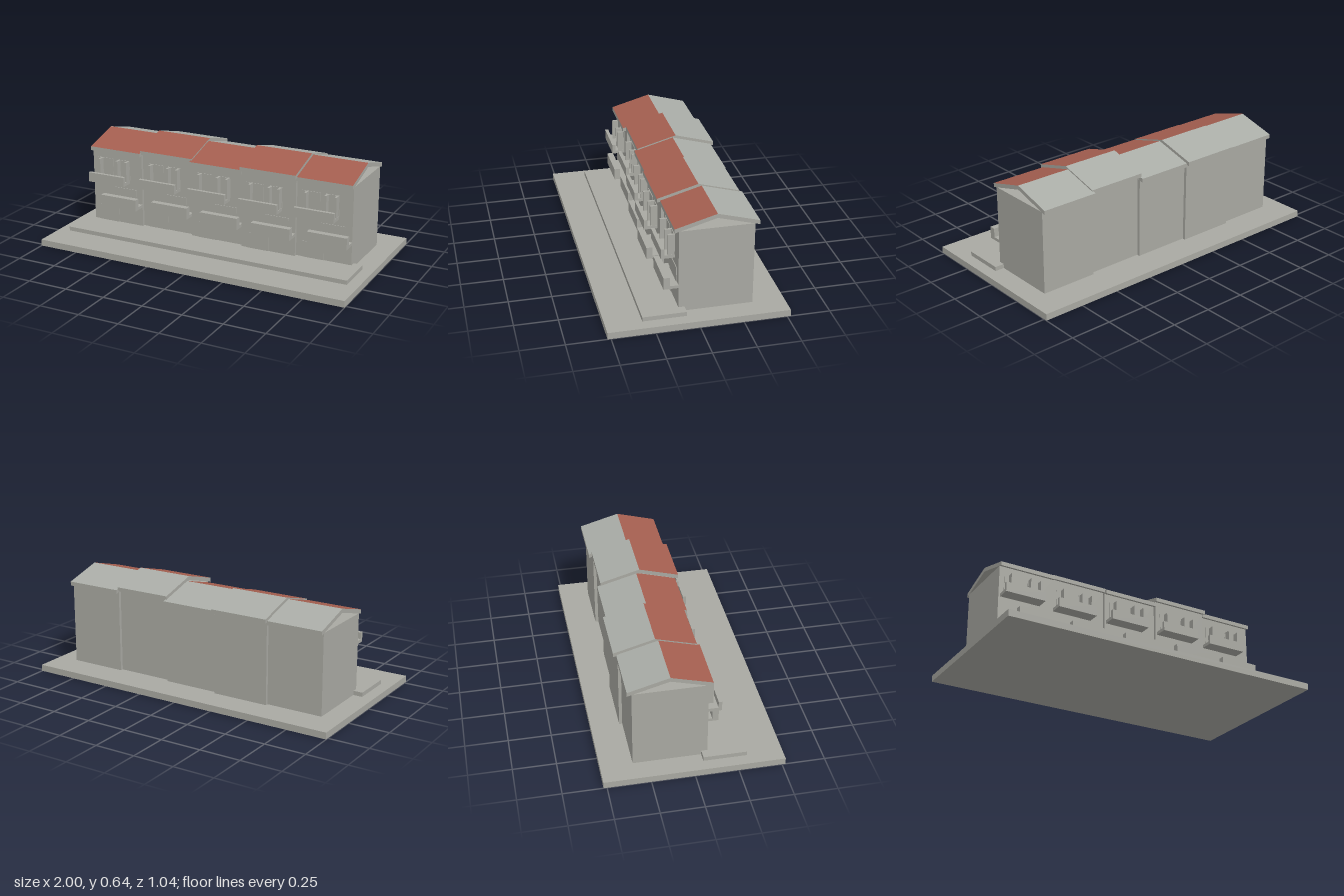
import * as THREE from 'three';

export function createModel() {
  const model = new THREE.Group();
  model.name = 'terraceOfHouses';

  const plaster = new THREE.MeshStandardMaterial({ color: 0xa9a9a2 });
  plaster.name = 'grey plaster';
  const roofGrey = new THREE.MeshStandardMaterial({ color: 0xaaada7 });
  roofGrey.name = 'grey roof';
  const roofRed = new THREE.MeshStandardMaterial({ color: 0xa55f50 });
  roofRed.name = 'red roof tiles';

  // Box given by its limits on each axis
  function block(parent, name, [x0, x1], [y0, y1], [z0, z1]) {
    const mesh = new THREE.Mesh(new THREE.BoxGeometry(x1 - x0, y1 - y0, z1 - z0), plaster);
    mesh.position.set((x0 + x1) / 2, (y0 + y1) / 2, (z0 + z1) / 2);
    mesh.name = name;
    parent.add(mesh);
  }

  // Sloping slab with upright ends; only its upper face takes the roof colour
  function roofSlope(parent, name, side, ridgeY, width, topMaterial) {
    const depth = 0.24, pitch = 0.28, thickness = 0.025;
    const geometry = new THREE.BoxGeometry(width, thickness, depth);
    geometry.translate(0, ridgeY - thickness / 2, side * depth / 2);
    const p = geometry.attributes.position;
    for (let i = 0; i < p.count; i++) p.setY(i, p.getY(i) - pitch * Math.abs(p.getZ(i)));
    geometry.computeVertexNormals();
    const materials = Array(6).fill(plaster);
    materials[2] = topMaterial;
    const mesh = new THREE.Mesh(geometry, materials);
    mesh.name = name;
    mesh.position.z = -0.12;
    parent.add(mesh);
  }

  // Ground
  block(model, 'basePlate', [-1, 1], [0, 0.04], [-0.52, 0.52]);
  block(model, 'pavement', [-0.93, 0.93], [0.04, 0.066], [0.06, 0.312]);

  // Five houses, each with its own ridge height and setback
  const pitchX = 0.349;
  const houses = [
    { ridge: 0.615, shift: 0, width: 0.352 },
    { ridge: 0.628, shift: -0.018, width: 0.36 },
    { ridge: 0.615, shift: 0, width: 0.352 },
    { ridge: 0.641, shift: 0.019, width: 0.36 },
    { ridge: 0.628, shift: 0, width: 0.352 },
  ];

  houses.forEach(({ ridge, shift, width }, i) => {
    const house = new THREE.Group();
    house.name = 'house' + (i + 1);
    house.position.set((i - 2) * pitchX, 0, shift);
    model.add(house);

    const front = 0.095;
    const half = pitchX / 2;
    block(house, 'walls', [-half, half], [0.04, ridge - 0.084], [-0.334, front]);
    roofSlope(house, 'frontRoof', 1, ridge, width, roofRed);
    roofSlope(house, 'backRoof', -1, ridge, width, roofGrey);

    // Door and window plates
    const plate = [front, front + 0.004];
    block(house, 'door', [-0.132, 0.003], [0.066, 0.165], plate);
    block(house, 'lowerWindow', [-0.018, 0.132], [0.208, 0.297], plate);
    block(house, 'upperLeftWindow', [-0.143, -0.03], [0.355, 0.48], plate);
    block(house, 'upperRightWindow', [0.005, 0.09], [0.355, 0.48], plate);

    // Open shutters standing out from the wall
    for (const x of [-0.108, 0.017, 0.08]) {
      block(house, 'shutter', [x - 0.007, x + 0.007], [0.355, 0.48], [front, 0.137]);
    }

    // Upper balcony: floor and front parapet
    block(house, 'upperBalconyFloor', [-0.163, 0.088], [0.335, 0.355], [front, 0.155]);
    block(house, 'upperBalconyParapet', [-0.163, 0.088], [0.335, 0.395], [0.155, 0.175]);

    // Lower balcony: floor and front parapet
    block(house, 'lowerBalconyFloor', [-0.075, 0.174], [0.19, 0.208], [front, 0.143]);
    block(house, 'lowerBalconyParapet', [-0.075, 0.174], [0.19, 0.262], [0.143, 0.18]);
  });

  return model;
}
